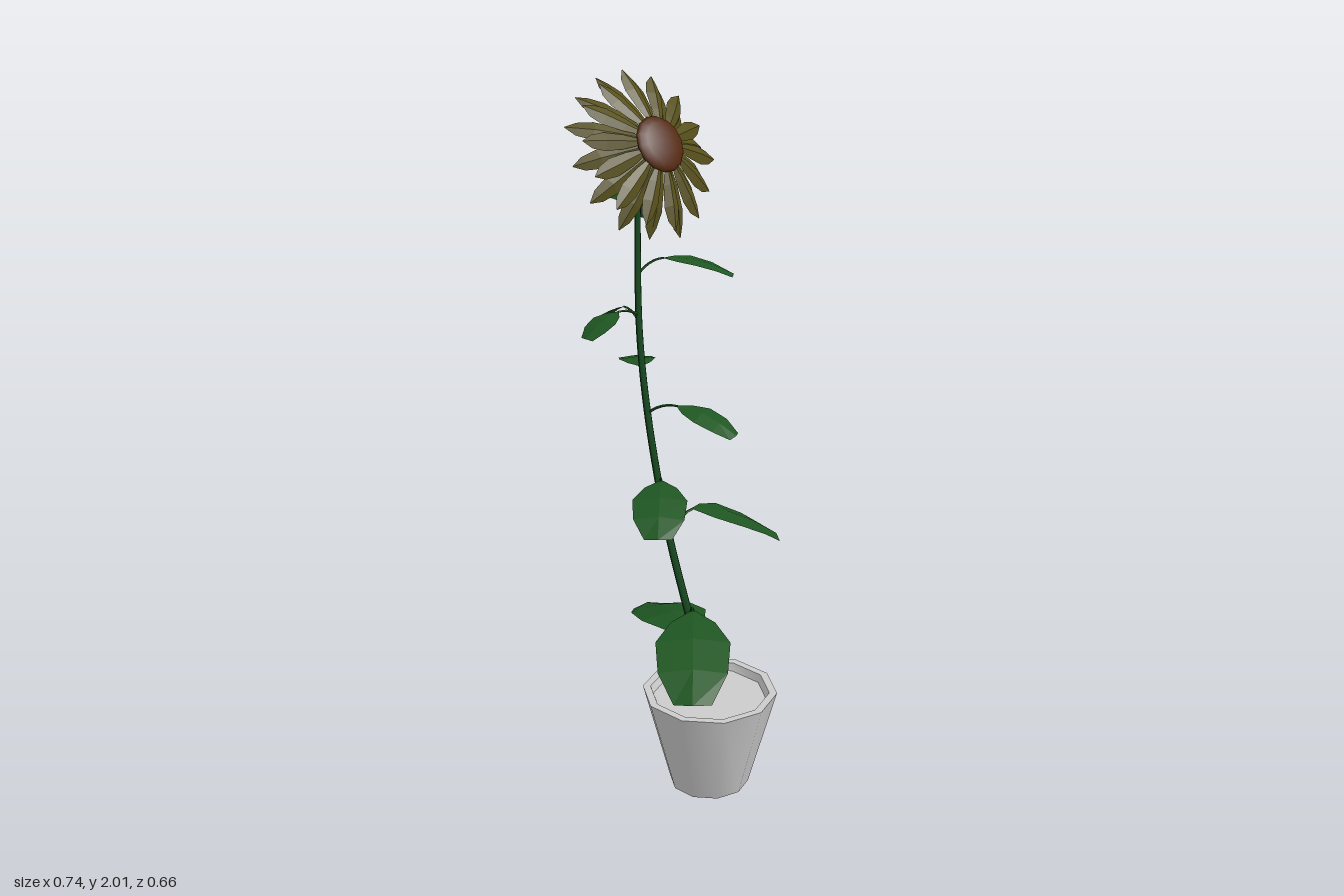
import * as THREE from 'three';
import { toCreasedNormals } from 'three/addons/utils/BufferGeometryUtils.js';

const V = (p) => new THREE.Vector3(...p);
const paint = (color, flat = true) =>
  new THREE.MeshStandardMaterial({ color, flatShading: flat, side: THREE.DoubleSide });

function mesh(name, geometry, material) {
  const m = new THREE.Mesh(geometry, material);
  m.name = name;
  return m;
}

// Tube along a curve, its radius shrinking from r0 to r1
function taperedTube(curve, segments, sides, r0, r1) {
  const geo = new THREE.TubeGeometry(curve, segments, 1, sides);
  const pos = geo.attributes.position, p = new THREE.Vector3();
  for (let i = 0; i < pos.count; i++) {
    const t = Math.floor(i / (sides + 1)) / segments;
    const c = curve.getPointAt(t);
    p.fromBufferAttribute(pos, i).sub(c).multiplyScalar(r0 + (r1 - r0) * t).add(c);
    pos.setXYZ(i, p.x, p.y, p.z);
  }
  geo.computeVertexNormals();
  return geo;
}

// Folded blade: each row holds a left edge, a midrib and a right edge point
function bladeGeometry(rows) {
  const points = rows.flat(), index = [];
  for (let i = 0; i < rows.length - 1; i++) {
    for (let j = 0; j < 2; j++) {
      const a = i * 3 + j, b = a + 1, c = a + 3, d = a + 4;
      index.push(a, b, d, a, d, c);
    }
  }
  const geo = new THREE.BufferGeometry().setFromPoints(points);
  geo.setIndex(index);
  geo.computeVertexNormals();
  return geo;
}

// Leaf outline: distance along the blade, half-width share, midrib lead
const LEAF_OUTLINE = [[0, 0.08, 0], [0.16, 0.6, 0], [0.42, 1, 0], [0.72, 0.92, 0], [0.97, 0.5, 0.04]];

function makeLeaf(name, from, base, tip, width, material) {
  const leaf = new THREE.Group();
  leaf.name = name;
  const a = V(from), b = V(base), c = V(tip);
  const along = c.clone().sub(b);
  const side = new THREE.Vector3(along.z, 0, -along.x).normalize();
  const length = along.length();
  // Arching leaf stalk
  const bend = new THREE.Vector3(a.x * 0.55 + b.x * 0.45, b.y, a.z * 0.55 + b.z * 0.45);
  const stalk = new THREE.QuadraticBezierCurve3(a, bend, b);
  const thick = 0.003 + width * 0.012;
  leaf.add(mesh('leafStalk', taperedTube(stalk, 6, 5, thick, thick * 0.7), material));
  // Drooping blade
  const rows = LEAF_OUTLINE.map(([t, w, lead]) => {
    const mid = b.clone().addScaledVector(along, t + lead);
    mid.y += Math.sin(Math.PI * Math.min(t, 1)) * length * 0.09;
    const half = w * width / 2;
    const edge = (s) => b.clone().addScaledVector(along, t).addScaledVector(side, s * half)
      .setY(mid.y - half * 0.12);
    return [edge(1), mid, edge(-1)];
  });
  leaf.add(mesh('leafBlade', bladeGeometry(rows), material));
  return leaf;
}

// Petal outline: radius share, half width, share of the backward sweep
const PETAL_OUTLINE = [[0.28, 0.008, 0], [0.48, 0.019, 0.2], [0.72, 0.025, 0.5], [0.88, 0.018, 0.78], [1, 0.001, 1]];

function petalGeometry(reach, sweep) {
  return bladeGeometry(PETAL_OUTLINE.map(([r, w, s]) => {
    const y = r * reach, z = -s * sweep;
    return [[-w, y, z - w * 0.4], [0, y, z], [w, y, z - w * 0.4]].map(V);
  }));
}

function makeFlower() {
  const flower = new THREE.Group();
  flower.name = 'flowerHead';
  const petalPaint = paint(0x57501c);
  const COUNT = 14;
  // Two rings of petals, the rear one swept further back
  [[0.215, 0.045, 0], [0.228, 0.085, 0.5]].forEach(([reach, sweep, shift], ring) => {
    for (let i = 0; i < COUNT; i++) {
      const vary = 1 + 0.03 * Math.sin(i * 2.4 + ring);
      const petal = mesh('petal', petalGeometry(reach * vary, sweep * (2 - vary)), petalPaint);
      petal.rotation.z = ((i + shift) / COUNT) * Math.PI * 2;
      petal.position.z = -0.008 * ring;
      flower.add(petal);
    }
  });
  // Domed seed disc
  const disc = mesh('seedDisc', new THREE.SphereGeometry(0.076, 14, 8), paint(0x55290f, false));
  disc.geometry.rotateX(Math.PI / 2).scale(1, 1, 0.28);
  flower.add(disc);
  flower.position.set(-0.047, 1.843, 0);
  flower.quaternion.setFromUnitVectors(new THREE.Vector3(0, 0, 1), new THREE.Vector3(0.86, 0.51, 0).normalize());
  return flower;
}

function makePot() {
  // Ten-sided pot with a rim and a filled top
  const profile = [[0, 0], [0.112, 0], [0.19, 0.29], [0.168, 0.29], [0.16, 0.268], [0, 0.268]]
    .map(([x, y]) => new THREE.Vector2(x, y));
  const geo = toCreasedNormals(new THREE.LatheGeometry(profile, 10, Math.PI / 2), 0.7);
  const pot = mesh('pot', geo, new THREE.MeshStandardMaterial({ color: 0xcccccc }));
  pot.position.set(0.084, 0, -0.058);
  return pot;
}

export function createModel() {
  const model = new THREE.Group();
  model.name = 'pottedFlower';
  model.add(makePot());

  // Leaning stem that bows over into the flower head
  const stem = new THREE.CatmullRomCurve3([
    [0.068, 0.26, -0.073], [0.025, 0.49, -0.042], [-0.035, 0.755, -0.016], [-0.087, 1.07, 0.004],
    [-0.118, 1.31, 0.005], [-0.133, 1.55, -0.005], [-0.13, 1.71, -0.007], [-0.11, 1.79, -0.003], [-0.055, 1.838, 0],
  ].map(V));
  model.add(mesh('stem', taperedTube(stem, 36, 7, 0.012, 0.008), paint(0x174a20, false)));

  // Leaves from the lowest up: joint on the stem, blade base, blade tip, width
  const green = paint(0x1f5622);
  [
    [[0.05, 0.34, -0.06], [-0.03, 0.4, -0.115], [-0.36, 0.325, -0.275], 0.2],
    [[0.024, 0.5, -0.042], [0.09, 0.57, 0.02], [0.342, 0.49, 0.3], 0.2],
    [[-0.03, 0.73, -0.018], [-0.01, 0.81, -0.09], [0.092, 0.685, -0.325], 0.17],
    [[-0.057, 0.88, -0.007], [0.005, 0.945, 0.055], [0.165, 0.885, 0.24], 0.145],
    [[-0.09, 1.1, 0.004], [0, 1.138, -0.015], [0.16, 1.08, -0.068], 0.11],
    [[-0.103, 1.17, 0.005], [-0.155, 1.208, -0.035], [-0.297, 1.165, -0.155], 0.1],
    [[-0.121, 1.35, 0.004], [-0.17, 1.385, 0.012], [-0.297, 1.295, 0.017], 0.08],
    [[-0.122, 1.37, 0.004], [-0.13, 1.395, 0.075], [-0.13, 1.35, 0.195], 0.08],
    [[-0.13, 1.48, -0.003], [-0.09, 1.52, -0.06], [0.03, 1.468, -0.2], 0.09],
    [[-0.132, 1.65, -0.006], [-0.155, 1.685, -0.03], [-0.197, 1.605, -0.082], 0.055],
    [[-0.13, 1.71, -0.007], [-0.13, 1.735, 0.022], [-0.135, 1.702, 0.085], 0.05],
  ].forEach(([from, base, tip, width], i) =>
    model.add(makeLeaf(`leaf${i + 1}`, from, base, tip, width, green)));

  model.add(makeFlower());
  return model;
}
